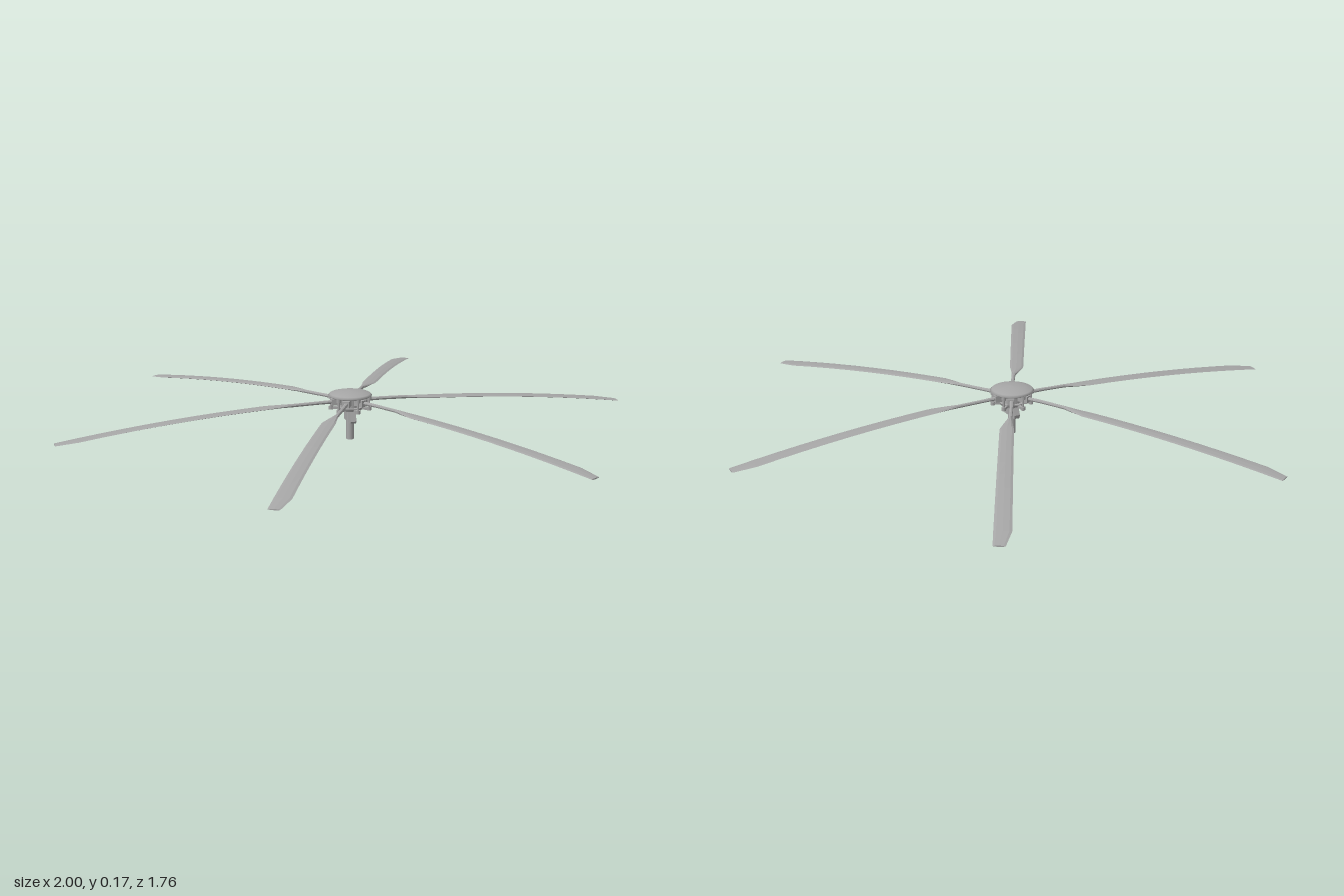
import * as THREE from 'three';

const COUNT = 6;

// Faceted loft through elliptical sections [x, y, zFront, zBack, halfThickness]
function loft(sections, sides = 8) {
  const pos = [], idx = [];
  sections.forEach(([x, y, z0, z1, h]) => {
    for (let j = 0; j < sides; j++) {
      const a = (j / sides) * Math.PI * 2;
      pos.push(x, y + h * Math.sin(a), (z0 + z1) / 2 + ((z1 - z0) / 2) * Math.cos(a));
    }
  });
  const last = (sections.length - 1) * sides;
  for (let s = 0; s < last; s += sides) {
    for (let j = 0; j < sides; j++) {
      const k = (j + 1) % sides;
      idx.push(s + j, s + sides + j, s + k, s + k, s + sides + j, s + sides + k);
    }
  }
  for (let j = 1; j < sides - 1; j++) {
    idx.push(0, j, j + 1, last, last + j + 1, last + j);
  }
  const geo = new THREE.BufferGeometry();
  geo.setAttribute('position', new THREE.Float32BufferAttribute(pos, 3));
  geo.setIndex(idx);
  const flat = geo.toNonIndexed();
  flat.computeVertexNormals();
  return flat;
}

export function createModel() {
  const model = new THREE.Group();
  model.name = 'rotor';
  const grey = new THREE.MeshStandardMaterial({ color: 0xa6a6a6 });
  grey.name = 'grey metal';

  const add = (parent, name, geo, x = 0, y = 0, z = 0) => {
    const mesh = new THREE.Mesh(geo, grey);
    mesh.name = name;
    mesh.position.set(x, y, z);
    parent.add(mesh);
    return mesh;
  };

  // Drooping blade: slim root, flared shoulder, long paddle, clipped tip
  const droop = (x) => 0.135 - 0.073 * x * x;
  const plan = [
    [0.03, -0.009, 0.007, 0.007], [0.12, -0.010, 0.003, 0.006],
    [0.205, -0.010, 0.003, 0.006], [0.24, -0.013, 0.014, 0.005], [0.29, -0.020, 0.027, 0.004],
  ];
  for (let i = 1; i <= 8; i++) {
    const t = i / 8;
    plan.push([0.29 + 0.635 * t, -0.020 - 0.023 * t, 0.027 - 0.015 * t, 0.004 - 0.001 * t]);
  }
  plan.push([1.0, -0.028, 0.010, 0.002]);
  const bladeGeo = loft(plan.map(([x, a, b, h]) => [x, droop(x), a, b, h]));

  const clampGeo = new THREE.BoxGeometry(0.04, 0.022, 0.024);
  const linkGeo = new THREE.CylinderGeometry(0.004, 0.004, 0.05, 8);
  const jointGeo = new THREE.CylinderGeometry(0.008, 0.008, 0.012, 8);
  const hornGeo = new THREE.BoxGeometry(0.03, 0.008, 0.01);

  for (let i = 0; i < COUNT; i++) {
    const arm = new THREE.Group();
    arm.name = 'bladeArm' + (i + 1);
    arm.rotation.y = (i / COUNT) * Math.PI * 2;
    add(arm, 'blade', bladeGeo);
    add(arm, 'bladeClamp', clampGeo, 0.047, 0.134, 0);
    // Pitch control link beside each clamp
    add(arm, 'pitchLink', linkGeo, 0.06, 0.13, 0.025);
    add(arm, 'lowerJoint', jointGeo, 0.06, 0.108, 0.025);
    add(arm, 'upperJoint', jointGeo, 0.06, 0.146, 0.025);
    add(arm, 'linkArm', hornGeo, 0.045, 0.108, 0.019).rotation.y = -0.4;
    model.add(arm);
  }

  // Domed hub cap
  const capProfile = [[0, 0.148], [0.068, 0.149], [0.075, 0.154], [0.068, 0.160],
    [0.045, 0.166], [0.02, 0.169], [0, 0.17]].map(([r, y]) => new THREE.Vector2(r, y));
  add(model, 'hubCap', new THREE.LatheGeometry(capProfile, 32));

  // Hub core and drive shaft
  add(model, 'hubCore', new THREE.CylinderGeometry(0.032, 0.032, 0.046, 18), 0, 0.127, 0);
  add(model, 'swashPlate', new THREE.CylinderGeometry(0.045, 0.04, 0.01, 18), 0, 0.109, 0);
  add(model, 'shaft', new THREE.CylinderGeometry(0.013, 0.013, 0.13, 16), 0, 0.065, 0);

  // Flat bracket lying across the shaft, front to back
  const bracket = new THREE.Shape([[0.044, 0.07], [0.03, 0.11], [-0.025, 0.11], [-0.04, 0.075],
    [-0.036, 0.062], [0.036, 0.062]].map(([z, y]) => new THREE.Vector2(z, y)));
  const bracketGeo = new THREE.ExtrudeGeometry(bracket, { depth: 0.02, bevelEnabled: false });
  bracketGeo.translate(0, 0, -0.01);
  bracketGeo.rotateY(-Math.PI / 2);
  add(model, 'shaftBracket', bracketGeo);

  return model;
}
